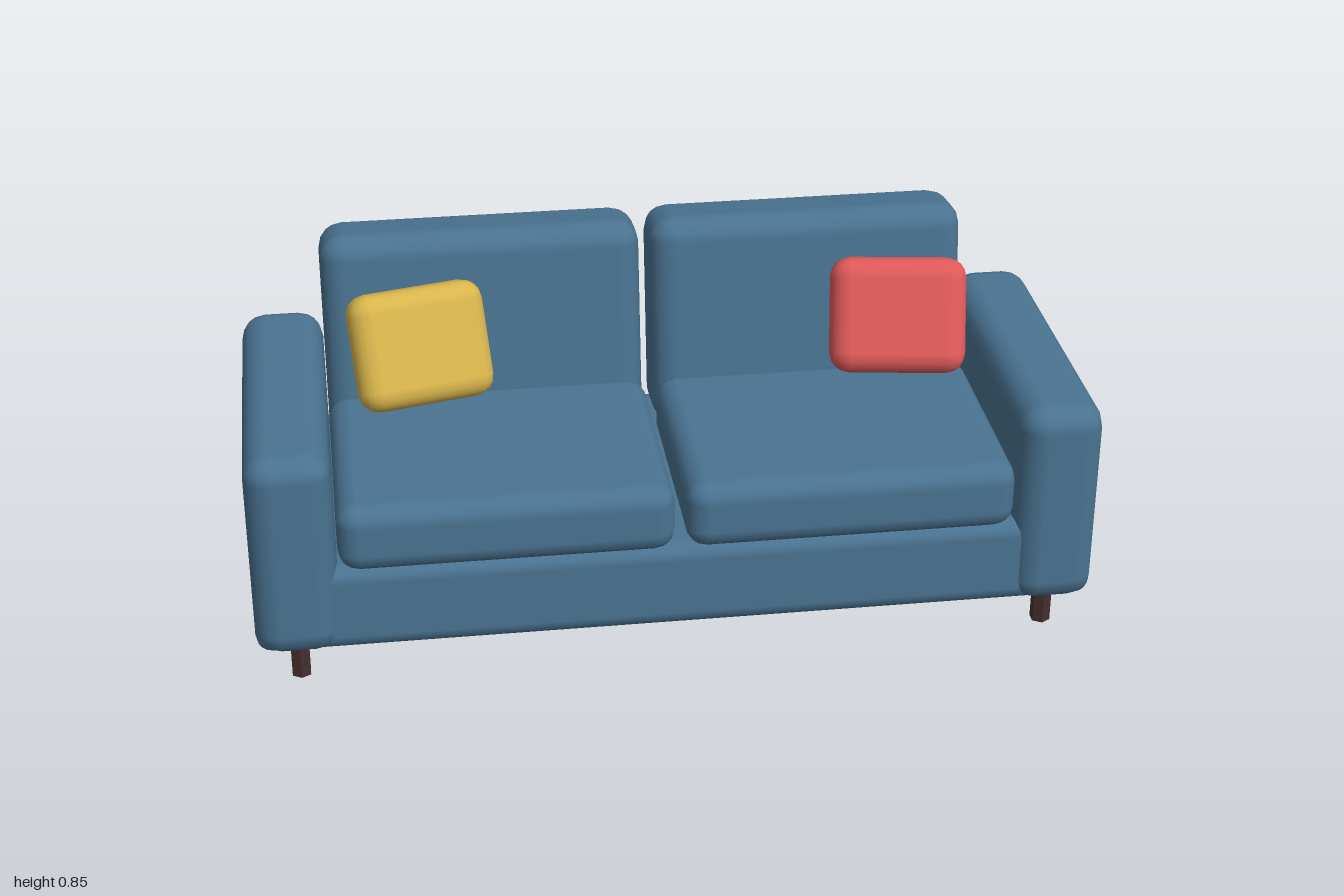
import * as THREE from 'three';
import { RoundedBoxGeometry } from 'three/addons/geometries/RoundedBoxGeometry.js';

const paint = (name, color) => {
  const m = new THREE.MeshStandardMaterial({ color });
  m.name = name;
  return m;
};

export function createModel() {
  const sofa = new THREE.Group();
  sofa.name = 'sofa';
  const blue = paint('blueFabric', 0x4a7391);
  const yellow = paint('yellowFabric', 0xd9b54c);
  const red = paint('redFabric', 0xe05a5a);
  const wood = paint('darkWood', 0x442e2e);

  // Soft block: size, corner radius, centre, then tilt back and turn
  const block = (name, material, size, radius, centre, tilt = 0, turn = 0) => {
    const mesh = new THREE.Mesh(new RoundedBoxGeometry(...size, 2, radius), material);
    mesh.name = name;
    mesh.position.set(...centre);
    mesh.rotation.set(tilt, turn, 0, 'YXZ');
    sofa.add(mesh);
  };

  block('base', blue, [2, 0.22, 0.8], 0.04, [0, 0.21, 0.015]);

  const legGeometry = new THREE.CylinderGeometry(0.025, 0.025, 0.12, 6).toNonIndexed();
  legGeometry.computeVertexNormals();

  for (const [side, s] of [['left', 1], ['right', -1]]) {
    block(side + 'Arm', blue, [0.2, 0.52, 0.82], 0.06, [0.9 * s, 0.36, 0.025]);
    block(side + 'SeatCushion', blue, [0.785, 0.17, 0.6], 0.05, [0.405 * s, 0.395, 0.128]);
    block(side + 'BackCushion', blue, [0.785, 0.54, 0.21], 0.06, [0.405 * s, 0.58, -0.293], -0.14);

    // Front and back legs
    for (const [end, z] of [['Front', 0.335], ['Back', -0.285]]) {
      const leg = new THREE.Mesh(legGeometry, wood);
      leg.name = side + end + 'Leg';
      leg.position.set(0.9 * s, 0.06, z);
      sofa.add(leg);
    }
  }

  // Throw pillows leaning back and turned inwards
  block('yellowPillow', yellow, [0.335, 0.285, 0.12], 0.05, [-0.569, 0.6375, -0.083], -0.4, 0.24);
  block('redPillow', red, [0.335, 0.285, 0.12], 0.05, [0.609, 0.6375, -0.092], -0.4, -0.15);

  return sofa;
}
